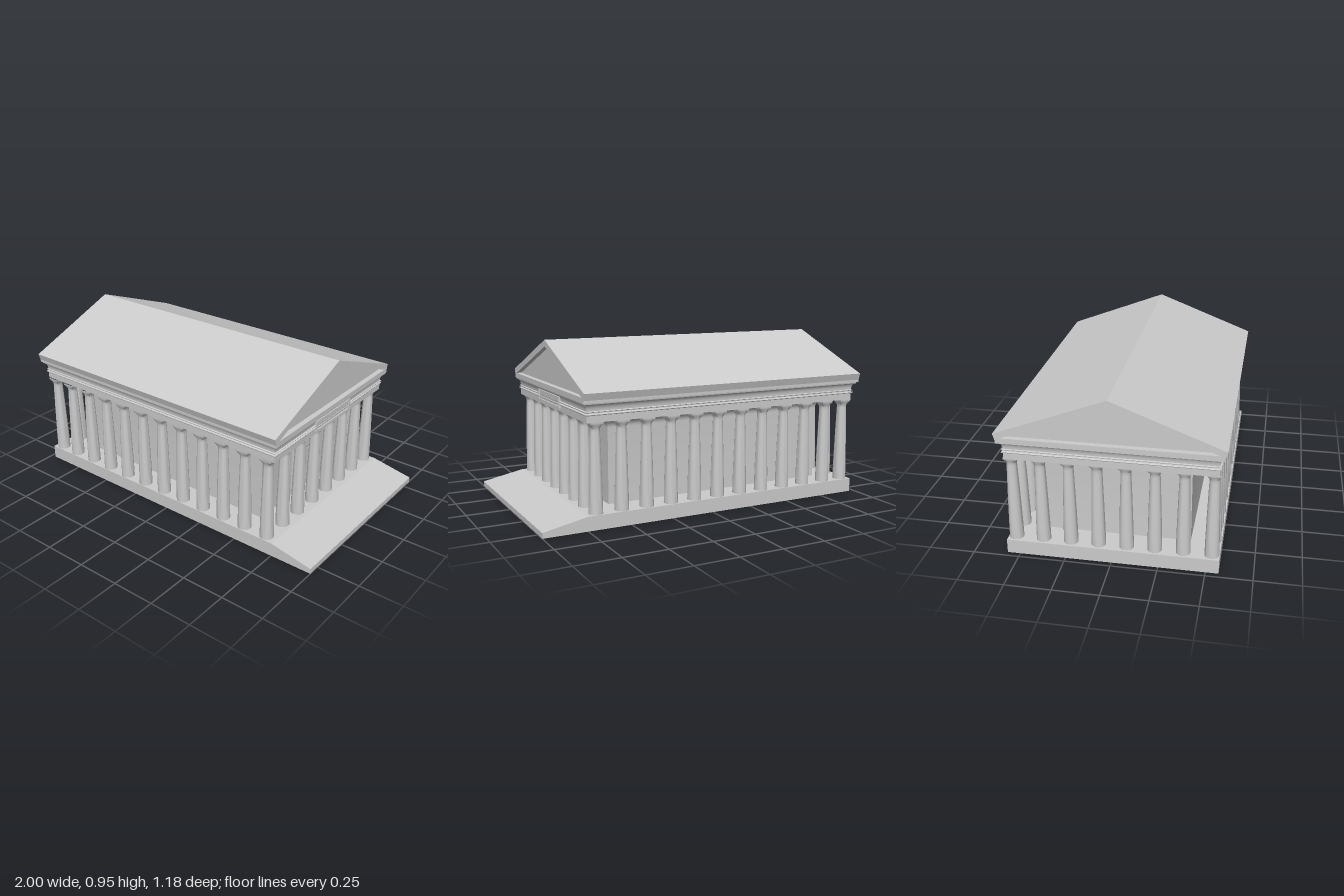
import * as THREE from 'three';
import { toCreasedNormals } from 'three/addons/utils/BufferGeometryUtils.js';

const material = new THREE.MeshStandardMaterial({ color: 0xcccccc });

function add(parent, name, geometry, x = 0, y = 0, z = 0) {
  const mesh = new THREE.Mesh(geometry, material);
  mesh.name = name;
  mesh.position.set(x, y, z);
  parent.add(mesh);
  return mesh;
}

const toShape = (pts) => new THREE.Shape(pts.map(([x, y]) => new THREE.Vector2(x, y)));

// Extrudes a (z, y) outline along x from x0 to x1; the outline is symmetric in z
function extrudeAlongX(shape, x0, x1) {
  const g = new THREE.ExtrudeGeometry(shape, { depth: x1 - x0, bevelEnabled: false });
  return g.rotateY(Math.PI / 2).translate(x0, 0, 0);
}

// Stacks rectangular rings [y, offset] around a half-size into a closed moulded block
function mouldedBlock(halfX, halfZ, rings) {
  const pos = [], index = [];
  for (const [y, d] of rings) {
    const a = halfX + d, b = halfZ + d;
    pos.push(-a, y, b, a, y, b, a, y, -b, -a, y, -b);
  }
  for (let r = 0; r < rings.length - 1; r++) {
    for (let i = 0; i < 4; i++) {
      const p = r * 4 + i, q = r * 4 + (i + 1) % 4;
      index.push(p, q, q + 4, p, q + 4, p + 4);
    }
  }
  const t = (rings.length - 1) * 4;
  index.push(0, 2, 1, 0, 3, 2, t, t + 1, t + 2, t, t + 2, t + 3);
  const g = new THREE.BufferGeometry();
  g.setAttribute('position', new THREE.Float32BufferAttribute(pos, 3));
  g.setIndex(index);
  return toCreasedNormals(g, 0.6);
}

// Tapered round shaft whose capital flares from a circle to a square
function columnGeometry() {
  const profile = [[0.039, 0.08], [0.0375, 0.18], [0.034, 0.32], [0.03, 0.45], [0.0275, 0.52],
    [0.0275, 0.535], [0.03, 0.545], [0.034, 0.556], [0.036, 0.563], [0.036, 0.572]];
  const g = new THREE.LatheGeometry(profile.map(([r, y]) => new THREE.Vector2(r, y)), 24);
  const p = g.attributes.position;
  for (let i = 0; i < p.count; i++) {
    const x = p.getX(i), z = p.getZ(i);
    const blend = THREE.MathUtils.clamp((p.getY(i) - 0.535) / 0.028, 0, 1);
    const square = Math.hypot(x, z) / Math.max(Math.abs(x), Math.abs(z));
    const s = THREE.MathUtils.lerp(1, square, blend);
    p.setX(i, x * s);
    p.setZ(i, z * s);
  }
  return toCreasedNormals(g, 0.6);
}

export function createModel() {
  const temple = new THREE.Group();
  temple.name = 'temple';

  // Platform with entrance ramp
  const base = new THREE.ExtrudeGeometry(
    toShape([[-0.97, 0], [1, 0], [1, 0.03], [0.75, 0.08], [-0.97, 0.08]]),
    { depth: 1.14, bevelEnabled: false });
  add(temple, 'platform', base.translate(0, 0, -0.57));

  // Inner hall, its walls curving outward into the ceiling
  const hallRings = [[0.07, 0]];
  for (let i = 0; i <= 10; i++) {
    const a = (i / 10) * Math.PI / 2;
    hallRings.push([0.505 + 0.065 * Math.sin(a), 0.092 * (1 - Math.cos(a))]);
  }
  add(temple, 'innerHall', mouldedBlock(0.6875, 0.405, hallRings), -0.1225);

  // Doorway: jambs, lintel with sloped soffit, and door leaf
  const door = new THREE.Group();
  door.name = 'doorway';
  temple.add(door);
  for (const side of [-1, 1]) {
    add(door, 'doorJamb', new THREE.BoxGeometry(0.025, 0.275, 0.03), 0.57, 0.2175, side * 0.095);
  }
  const lintel = new THREE.ExtrudeGeometry(
    toShape([[0.56, 0.325], [0.5825, 0.355], [0.5825, 0.395], [0.56, 0.395]]),
    { depth: 0.22, bevelEnabled: false });
  add(door, 'doorLintel', lintel.translate(0, 0, -0.11));
  add(door, 'doorLeaf', new THREE.BoxGeometry(0.01, 0.25, 0.16), 0.563, 0.205, 0);

  // Colonnade: twelve columns along each flank, eight across each end
  const column = columnGeometry();
  const colonnade = new THREE.Group();
  colonnade.name = 'colonnade';
  temple.add(colonnade);
  const xs = [-0.92];
  for (let i = 0; i < 10; i++) xs.push(-0.787 + i * 0.1475);
  xs.push(0.69);
  for (const x of xs) {
    for (const side of [-1, 1]) add(colonnade, 'flankColumn', column, x, 0, side * 0.528);
  }
  for (let i = 1; i < 7; i++) {
    const z = -0.528 + i * (1.056 / 7);
    add(colonnade, 'frontColumn', column, xs[11], 0, z);
    add(colonnade, 'rearColumn', column, xs[0], 0, z);
  }

  // Entablature with a narrow band and a hollow cornice
  const rings = [[0.57, 0], [0.606, 0], [0.608, 0.006], [0.612, 0.008], [0.616, 0.006],
    [0.618, 0], [0.622, 0], [0.624, 0.006], [0.627, 0.007], [0.63, 0]];
  for (let i = 1; i <= 6; i++) {
    const a = (i / 6) * Math.PI / 2;
    rings.push([0.63 + 0.038 * Math.sin(a), 0.02 * (1 - Math.cos(a))]);
  }
  rings.push([0.677, 0.022]);
  add(temple, 'entablature', mouldedBlock(0.855, 0.555, rings), -0.11);

  // Framed blank panel above the entrance
  const frame = toShape([[-0.176, 0.59], [0.176, 0.59], [0.176, 0.655], [-0.176, 0.655]]);
  frame.holes.push(toShape([[-0.165, 0.601], [-0.165, 0.645], [0.165, 0.645], [0.165, 0.601]]));
  add(temple, 'panelFrame', extrudeAlongX(frame, 0.74, 0.758));
  add(temple, 'panel', new THREE.BoxGeometry(0.012, 0.046, 0.332), 0.745, 0.623, 0);

  // Gabled roof with recessed pediments at both ends
  const roof = toShape([[-0.58, 0.675], [0.58, 0.675], [0.58, 0.69], [0.592, 0.728],
    [0, 0.955], [-0.592, 0.728], [-0.58, 0.69]]);
  const triangle = [[-0.555, 0.705], [0, 0.918], [0.555, 0.705]];
  roof.holes.push(toShape(triangle));
  add(temple, 'roof', extrudeAlongX(roof, -1, 0.77));
  add(temple, 'pediment', extrudeAlongX(toShape(triangle), -0.97, 0.74));

  return temple;
}
